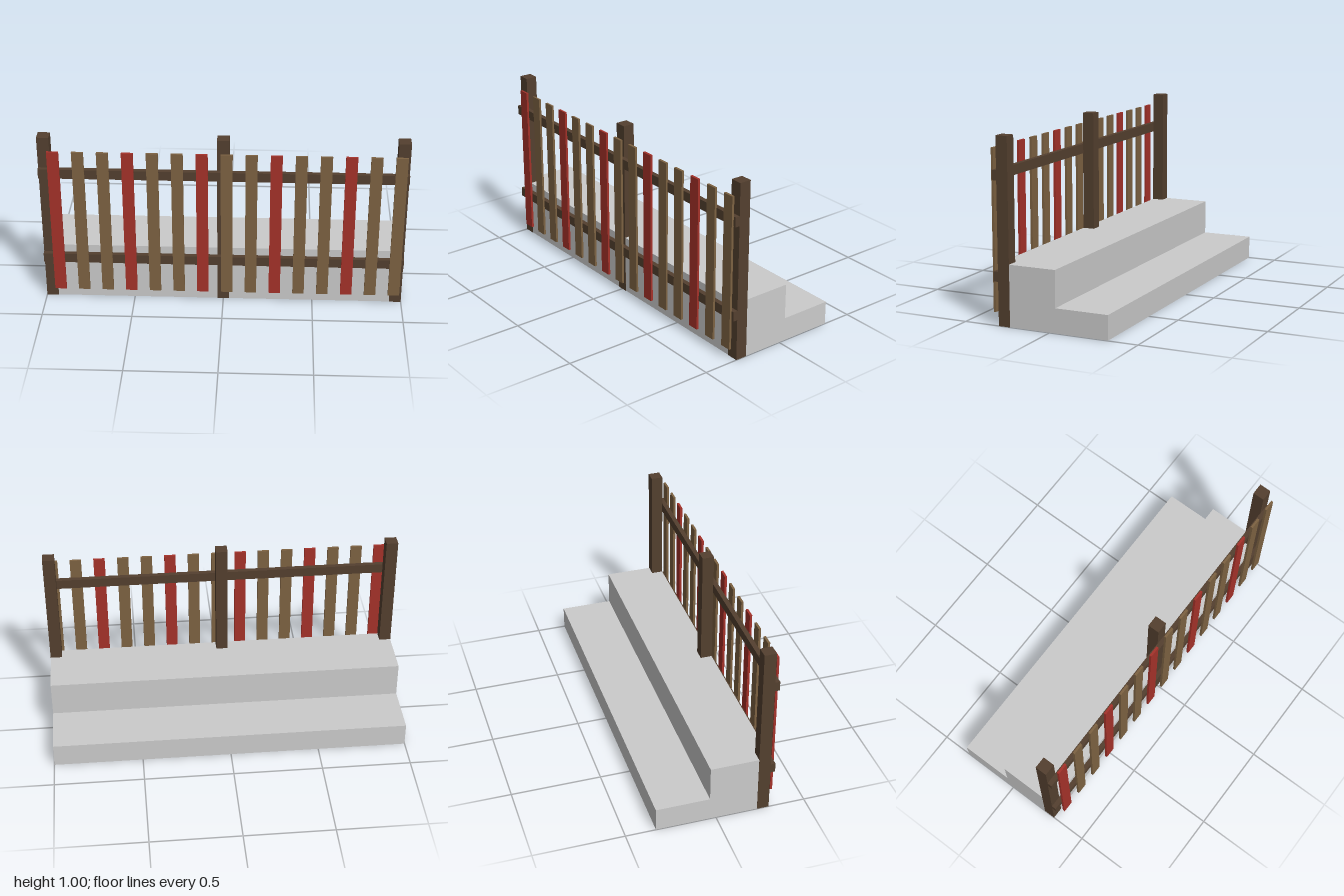
import * as THREE from 'three';

export function createModel() {
  const model = new THREE.Group();
  model.name = 'steppedPlatformWithFence';

  const material = (color) => new THREE.MeshStandardMaterial({ color });
  const stone = material(0xcccccc);
  const darkWood = material(0x54402f);
  const lightWood = material(0x7d6242);
  const redPaint = material(0xa5322a);

  // Box given by its extents along each axis
  function box(name, [x0, x1], [y0, y1], [z0, z1], mat, parent) {
    const mesh = new THREE.Mesh(new THREE.BoxGeometry(x1 - x0, y1 - y0, z1 - z0), mat);
    mesh.position.set((x0 + x1) / 2, (y0 + y1) / 2, (z0 + z1) / 2);
    mesh.name = name;
    parent.add(mesh);
  }

  // Two-step platform: side profile (z, y) extruded along x
  const profile = new THREE.Shape([
    [-0.333, 0], [0.297, 0], [0.297, 0.333], [-0.035, 0.333], [-0.035, 0.133], [-0.333, 0.133],
  ].map(([z, y]) => new THREE.Vector2(-z, y)));
  const stepGeometry = new THREE.ExtrudeGeometry(profile, { depth: 1.998, bevelEnabled: false });
  stepGeometry.translate(0, 0, -0.999).rotateY(Math.PI / 2);
  const steps = new THREE.Mesh(stepGeometry, stone);
  steps.name = 'steps';
  model.add(steps);

  const fence = new THREE.Group();
  fence.name = 'fence';
  model.add(fence);

  // Posts, a hair proud of the platform faces
  for (const x of [-0.967, 0, 0.967]) {
    box('post', [x - 0.033, x + 0.033], [-0.001, 1], [0.232, 0.298], darkWood, fence);
  }

  // Horizontal rails
  for (const y of [0.262, 0.794]) {
    box('rail', [-1, 1], [y - 0.027, y + 0.027], [0.297, 0.324], darkWood, fence);
  }

  // Slats, every third one red
  for (let i = 0; i < 15; i++) {
    const x = -0.913 + i * 0.1333;
    box('slat', [x - 0.032, x + 0.032], [0.067, 0.933], [0.323, 0.336],
      i % 3 === 0 ? redPaint : lightWood, fence);
  }

  return model;
}
